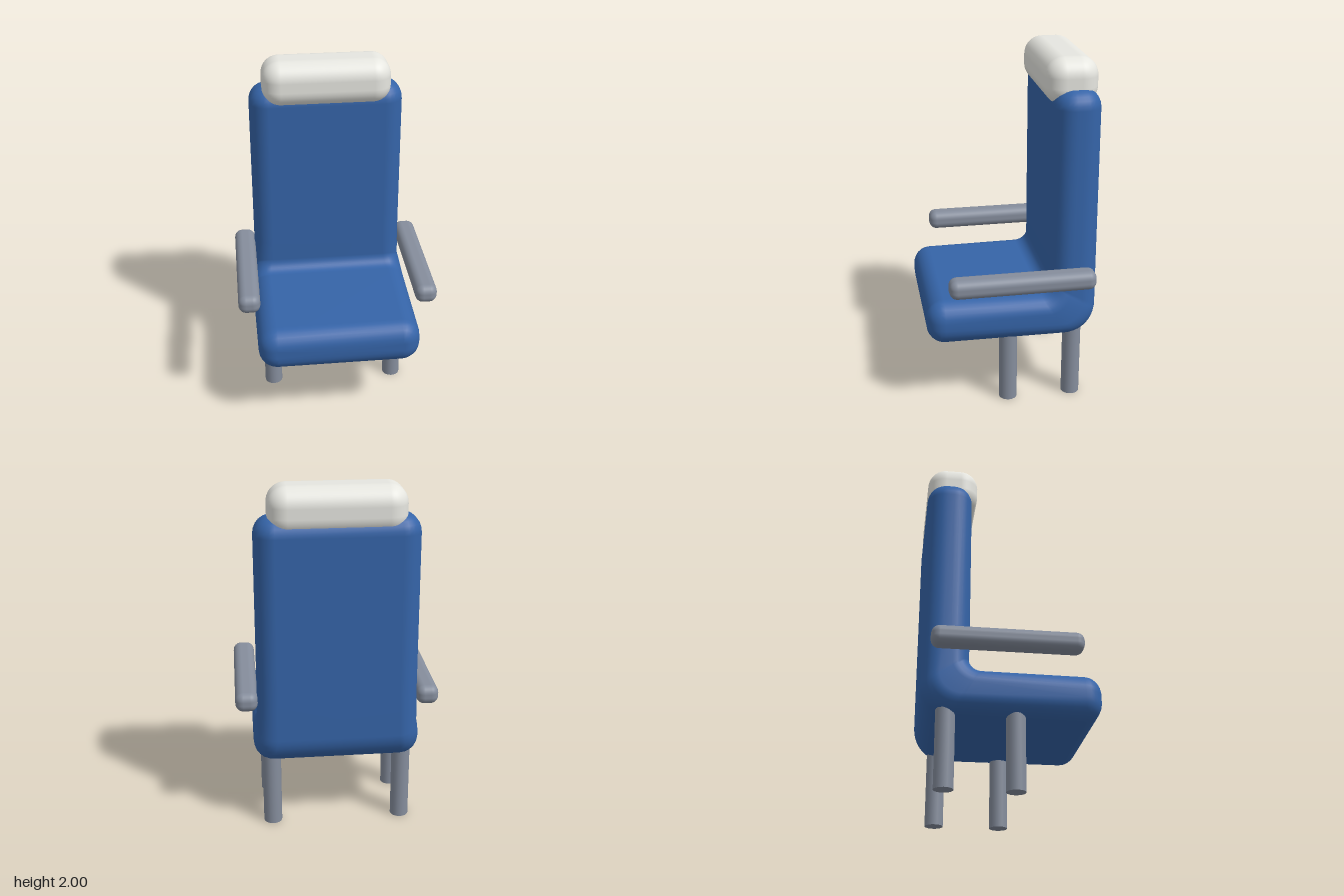
import * as THREE from 'three';
import { RoundedBoxGeometry } from 'three/addons/geometries/RoundedBoxGeometry.js';

const blue = new THREE.MeshStandardMaterial({ color: 0x3564a8 });
const white = new THREE.MeshStandardMaterial({ color: 0xe6e6e0 });
const grey = new THREE.MeshStandardMaterial({ color: 0x858d9c });

const CORNER = 0.11; // rounding of the cushion's long edges
const END = 0.1;     // rounding of the cushion's two ends
const ARC = 6;       // steps per rounded corner

// One rounded-rectangle ring between an inner and an outer [z, y] point
function ring(inner, outer, halfWidth, inset = 0) {
  const I = new THREE.Vector3(0, inner[1], inner[0]);
  const O = new THREE.Vector3(0, outer[1], outer[0]);
  const mid = I.clone().add(O).multiplyScalar(0.5);
  const half = I.distanceTo(O) / 2 - inset;
  const up = I.clone().sub(O).normalize();
  const w = halfWidth - inset, r = CORNER - inset;
  const points = [];
  [[1, 1], [-1, 1], [-1, -1], [1, -1]].forEach(([sx, sy], q) => {
    for (let k = 0; k <= ARC; k++) {
      const a = (q + k / ARC) * Math.PI / 2;
      const x = sx * (w - r) + r * Math.cos(a);
      const v = sy * (half - r) + r * Math.sin(a);
      points.push(mid.clone().addScaledVector(up, v).setX(x));
    }
  });
  return points;
}

// Join rings into a closed smooth skin
function loft(rings) {
  const n = rings[0].length;
  const points = rings.flat();
  const index = [];
  for (let i = 0; i < rings.length - 1; i++) {
    for (let j = 0; j < n; j++) {
      const a = i * n + j, b = i * n + (j + 1) % n;
      index.push(a, a + n, b, b, a + n, b + n);
    }
  }
  [rings[0], rings.at(-1)].forEach((loop, end) => {
    const centre = points.length, base = end ? (rings.length - 1) * n : 0;
    points.push(loop.reduce((s, p) => s.add(p), new THREE.Vector3()).divideScalar(n));
    for (let j = 0; j < n; j++) {
      const a = base + j, b = base + (j + 1) % n;
      index.push(centre, end ? b : a, end ? a : b);
    }
  });
  const geometry = new THREE.BufferGeometry().setFromPoints(points);
  geometry.setIndex(index);
  geometry.computeVertexNormals();
  return geometry;
}

// Seat and backrest as one padded L
function cushionGeometry() {
  const rings = [];
  const steps = 6;
  // rounded front edge of the seat
  for (let i = 0; i <= steps; i++) {
    const a = (i / steps) * Math.PI / 2;
    const z = 0.49 - END + END * Math.cos(a);
    rings.push(ring([z, 0.66], [z, 0.4], 0.47, END * (1 - Math.sin(a))));
  }
  // bend from seat to back
  for (let i = 0; i <= 10; i++) {
    const a = (i / 10) * Math.PI / 2, s = Math.sin(a), c = Math.cos(a);
    rings.push(ring(
      [-0.16 - 0.07 * s, 0.73 - 0.07 * c],
      [-0.31 - 0.18 * s, 0.58 - 0.18 * c],
      0.475 - 0.022 * (i / 10) ** 2));
  }
  rings.push(ring([-0.228, 0.85], [-0.49, 0.8], 0.45));
  // rounded top of the back
  for (let i = 0; i <= steps; i++) {
    const a = (i / steps) * Math.PI / 2;
    const y = 1.84 - END + END * Math.sin(a);
    rings.push(ring([-0.228, y], [-0.488, y], 0.448, END * (1 - Math.cos(a))));
  }
  return loft(rings);
}

export function createModel() {
  const model = new THREE.Group();
  model.name = 'chair';
  const add = (name, geometry, material, x, y, z) => {
    const mesh = new THREE.Mesh(geometry, material);
    mesh.name = name;
    mesh.position.set(x, y, z);
    model.add(mesh);
  };

  add('seatAndBack', cushionGeometry(), blue, 0, 0, 0);
  add('headrest', new RoundedBoxGeometry(0.745, 0.265, 0.295, 6, 0.105), white, 0, 1.8675, -0.3375);

  // Armrests and legs, mirrored
  const arm = new RoundedBoxGeometry(0.125, 0.11, 0.825, 4, 0.045);
  const leg = new THREE.CylinderGeometry(0.053, 0.053, 0.44, 20);
  for (const [side, s] of [['left', 1], ['right', -1]]) {
    add(side + 'Armrest', arm, grey, s * 0.509, 0.795, -0.037);
    add(side + 'FrontLeg', leg, grey, s * 0.375, 0.22, 0.022);
    add(side + 'BackLeg', leg, grey, s * 0.375, 0.22, -0.354);
  }
  return model;
}
